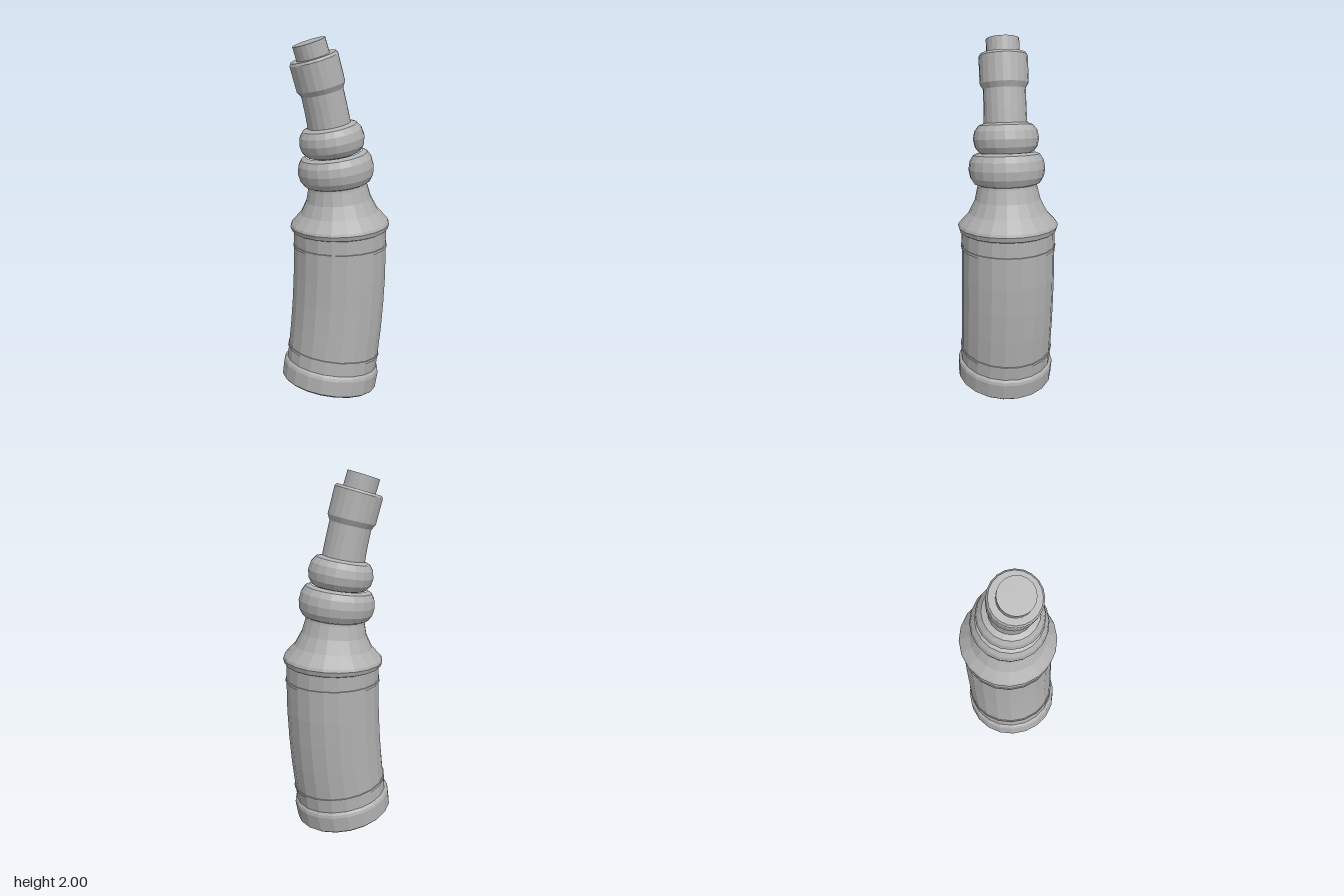
import * as THREE from 'three';

const SIDES = 20;
const UP = new THREE.Vector3(0, 1, 0);

// Centre line of the crooked bottle at height y, and its direction there
function spine(y) {
  const d = y - 0.87, k = d < 0 ? 0.107 : 0.142;
  const e = Math.max(0, y - 1.15);
  return {
    centre: new THREE.Vector3(0.03 - k * d * d, y, 0.003 - 0.03 * e * e),
    axis: new THREE.Vector3(-2 * k * d, 1, -0.06 * e).normalize(),
  };
}

// Lathe a [radius, height] profile, then bend each ring onto the spine
function bentLathe(profile) {
  const geo = new THREE.LatheGeometry(profile.map(([r, y]) => new THREE.Vector2(r, y)), SIDES);
  const pos = geo.attributes.position;
  const v = new THREE.Vector3(), q = new THREE.Quaternion();
  for (let i = 0; i < pos.count; i++) {
    v.fromBufferAttribute(pos, i);
    const { centre, axis } = spine(v.y);
    q.setFromUnitVectors(UP, axis);
    v.y = 0;
    v.applyQuaternion(q).add(centre);
    pos.setXYZ(i, v.x, v.y, v.z);
  }
  geo.computeVertexNormals();
  return geo;
}

// Rounded swelling between two heights
function bulge(rEnd, rMax, y0, y1) {
  const pts = [];
  for (let i = 0; i <= 6; i++) {
    const a = (i / 6 - 0.5) * Math.PI;
    pts.push([rEnd + (rMax - rEnd) * Math.cos(a), (y0 + y1) / 2 + (y1 - y0) / 2 * Math.sin(a)]);
  }
  return pts;
}

// Thin raised line round the body
const ridge = (r, y) => [[r, y - 0.008], [r + 0.005, y - 0.007], [r + 0.005, y + 0.007], [r, y + 0.008]];

export function createModel() {
  const model = new THREE.Group();
  const glass = new THREE.MeshStandardMaterial({ color: 0xb0b0b0, flatShading: true });
  glass.name = 'grey';

  const parts = {
    // Foot with a flat underside
    base: [[0, 0.05], [0.262, 0.05], [0.273, 0.06], [0.275, 0.145], [0.27, 0.16], [0.259, 0.172]],
    // Straight body with a ridge near each end
    body: [[0.259, 0.172], ...ridge(0.259, 0.245), [0.26, 0.4], [0.26, 0.55], [0.26, 0.7],
      ...ridge(0.258, 0.868), [0.258, 0.955]],
    // Flared shoulder
    shoulder: [[0.258, 0.955], [0.268, 0.96], [0.276, 0.985], [0.27, 1.0], [0.215, 1.06],
      [0.18, 1.13], [0.164, 1.2], [0.16, 1.24]],
    lowerBulge: bulge(0.155, 0.209, 1.21, 1.385),
    upperBulge: bulge(0.118, 0.179, 1.375, 1.54),
    neck: [[0.118, 1.53], [0.116, 1.62], [0.115, 1.73]],
    // Lip around the mouth
    collar: [[0.114, 1.715], [0.132, 1.745], [0.133, 1.885], [0.124, 1.898], [0.08, 1.898]],
    stopper: [[0.09, 1.885], [0.09, 1.974], [0, 1.974]],
  };

  for (const [name, profile] of Object.entries(parts)) {
    const mesh = new THREE.Mesh(bentLathe(profile), glass);
    mesh.name = name;
    model.add(mesh);
  }
  return model;
}
